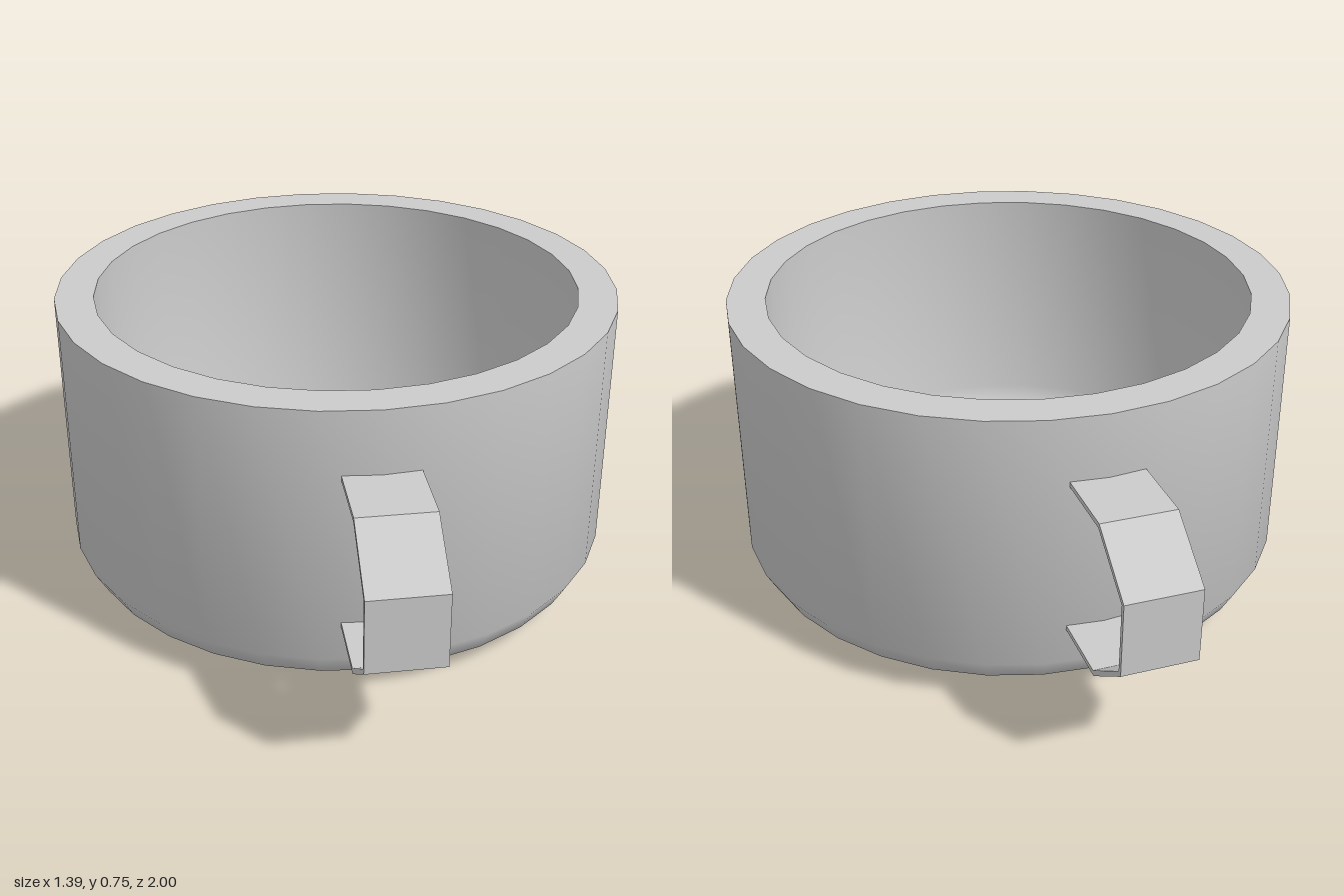
import * as THREE from 'three';
import { toCreasedNormals } from 'three/addons/utils/BufferGeometryUtils.js';

const material = new THREE.MeshStandardMaterial({ color: 0xcccccc });

// Thick-walled pot: outside from the base centre up, over the rim, down inside
function createPot() {
  const profile = [
    [0, 0], [0.48, 0.004], [0.592, 0.02], [0.665, 0.06], [0.695, 0.115], [0.695, 0.75],
    [0.6, 0.75], [0.6, 0.16], [0.583, 0.11], [0.54, 0.08], [0.45, 0.068], [0, 0.068],
  ].map(([r, y]) => new THREE.Vector2(r, y));
  const pot = new THREE.Mesh(toCreasedNormals(new THREE.LatheGeometry(profile, 32), 0.7), material);
  pot.name = 'potBody';
  return pot;
}

// Flat strap bent into a half octagon, drawn as (distance from axis, height)
function createHandle(name) {
  const outer = [[0.675, 0.595], [0.857, 0.595], [1, 0.491], [1, 0.313], [0.857, 0.204], [0.675, 0.204]];
  const inner = [[0.675, 0.583], [0.853, 0.583], [0.989, 0.485], [0.989, 0.319], [0.853, 0.216], [0.675, 0.216]];
  const shape = new THREE.Shape([...outer, ...inner.reverse()].map(([r, y]) => new THREE.Vector2(r, y)));
  const width = 0.176;
  const geometry = new THREE.ExtrudeGeometry(shape, { depth: width, bevelEnabled: false });
  geometry.translate(0, 0, -width / 2).rotateY(-Math.PI / 2);
  const handle = new THREE.Mesh(geometry, material);
  handle.name = name;
  return handle;
}

export function createModel() {
  const model = new THREE.Group();
  model.name = 'cookingPot';
  const backHandle = createHandle('backHandle');
  backHandle.rotation.y = Math.PI;
  model.add(createPot(), createHandle('frontHandle'), backHandle);
  return model;
}
